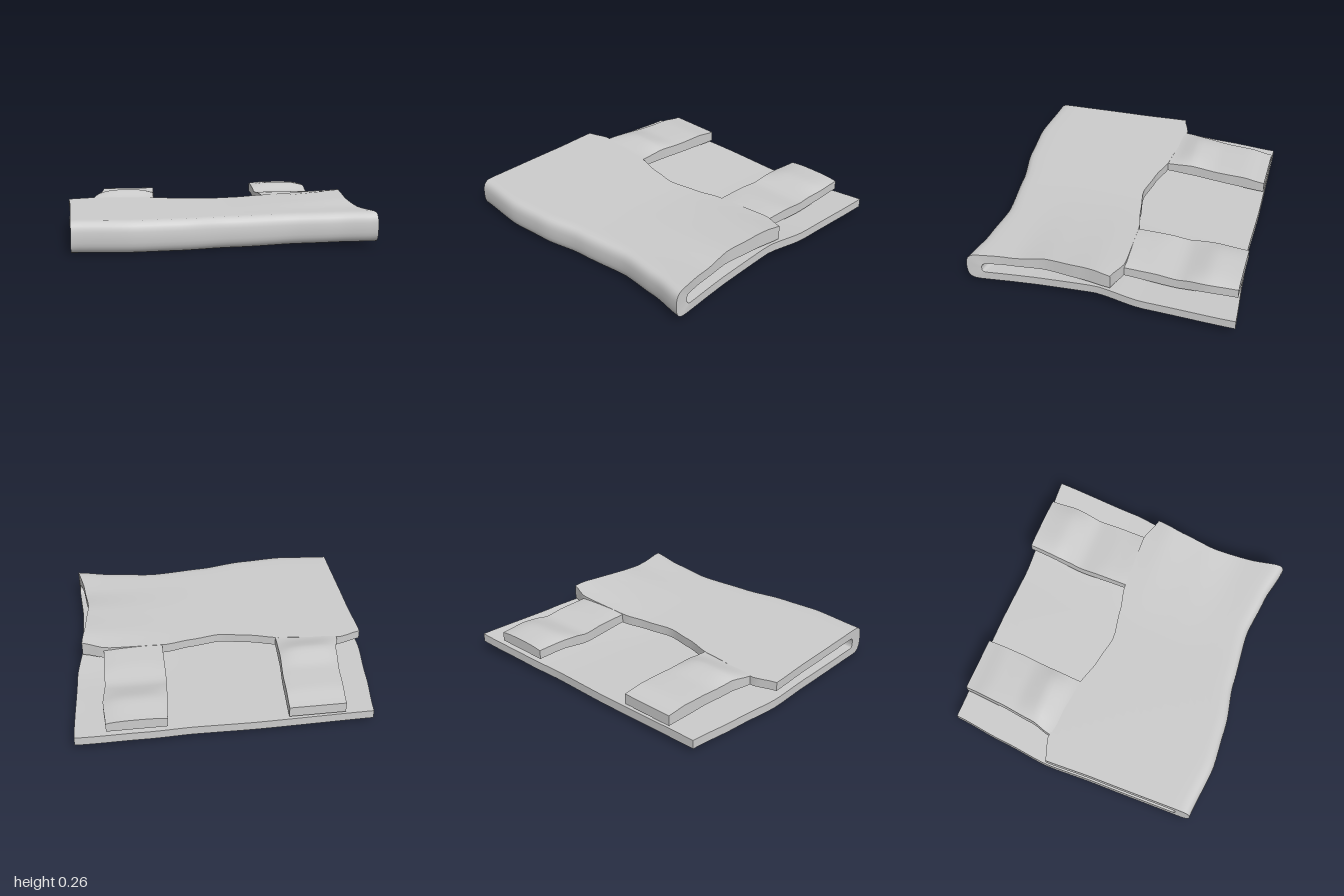
import * as THREE from 'three';
import { toCreasedNormals } from 'three/addons/utils/BufferGeometryUtils.js';

// Smooth interpolation through a short table of [position, value] pairs
function curve(pairs) {
  return (t) => {
    if (t <= pairs[0][0]) return pairs[0][1];
    for (let i = 1; i < pairs.length; i++) {
      const [a, va] = pairs[i - 1], [b, vb] = pairs[i];
      if (t <= b) {
        const k = (t - a) / (b - a);
        return va + (vb - va) * (0.5 * k + 0.5 * k * k * (3 - 2 * k));
      }
    }
    return pairs[pairs.length - 1][1];
  };
}
const mix = THREE.MathUtils.lerp;

// Closed cloth of two surfaces, at(i, j, inner) -> [x, y, z], joined round the border
function cloth(name, nu, nv, at) {
  const pos = [], idx = [], row = nu + 1, total = row * (nv + 1);
  for (const inner of [false, true])
    for (let j = 0; j <= nv; j++)
      for (let i = 0; i <= nu; i++) pos.push(...at(i, j, inner));
  for (let j = 0; j < nv; j++)
    for (let i = 0; i < nu; i++) {
      const a = j * row + i, b = a + 1, c = a + row, d = c + 1;
      idx.push(a, b, d, a, d, c);
      idx.push(total + a, total + d, total + b, total + a, total + c, total + d);
    }
  const rim = [];
  for (let i = 0; i < nu; i++) rim.push(i);
  for (let j = 0; j < nv; j++) rim.push(j * row + nu);
  for (let i = nu; i > 0; i--) rim.push(nv * row + i);
  for (let j = nv; j > 0; j--) rim.push(j * row);
  rim.forEach((p, k) => {
    const q = rim[(k + 1) % rim.length];
    idx.push(q, p, total + p, q, total + p, total + q);
  });
  const geo = new THREE.BufferGeometry();
  geo.setAttribute('position', new THREE.Float32BufferAttribute(pos, 3));
  geo.setIndex(idx);
  const mesh = new THREE.Mesh(toCreasedNormals(geo, 0.8),
    new THREE.MeshStandardMaterial({ color: 0xcccccc, side: THREE.DoubleSide }));
  mesh.name = name;
  return mesh;
}

// Outlines
const frontZ = curve([[-0.97, 0.875], [-0.6, 0.908], [-0.3, 0.885], [0, 0.83], [0.4, 0.79], [0.7, 0.82], [0.94, 0.865]]);
const backZ = curve([[-0.97, -0.86], [-0.2, -0.872], [0.2, -0.865], [0.5, -0.885], [0.94, -0.913]]);
const neckZ = curve([[-0.97, -0.15], [-0.82, -0.2], [-0.4, -0.155], [-0.2, -0.1], [0, -0.065],
  [0.2, -0.1], [0.38, -0.14], [0.78, -0.155], [0.94, -0.1]]);
const leftEdge = curve([[-0.86, -0.925], [-0.5, -0.965], [-0.15, -1], [0.2, -0.985], [0.88, -0.97]]);
const lowerRight = curve([[-0.91, 1], [-0.3, 0.97], [0, 0.925], [0.4, 0.92], [0.86, 0.945]]);
const upperRight = curve([[-0.1, 0.93], [0.1, 0.9], [0.35, 0.875], [0.6, 0.9], [0.86, 0.945]]);

// Heights: gentle sag plus a lift toward the +x side
const side = (x) => Math.pow(Math.max(0, (x - 0.15) / 0.79), 1.5);
const lowerLift = curve([[-0.9, 0.04], [-0.35, 0.04], [0, 0.06], [0.5, 0.035], [0.87, 0.025]]);
const upperLift = curve([[-0.4, 0], [-0.15, 0.04], [0, 0.055], [0.3, 0.04], [0.55, 0.012], [0.85, 0.02]]);
const lowerY = (x, z) => mix(0.008, 0.04, (0.9 - z) / 1.8) + side(x) * lowerLift(z);
const upperY = (x, z) => 0.21 + side(x) * upperLift(z);

// Folded body: lower sheet, rounded front fold, then the upper sheet up to the neckline
function foldedBody() {
  const nu = 40, nLow = 26, nArc = 14, nUp = 18;
  return cloth('foldedBody', nu, nLow + nArc + nUp, (i, j, inner) => {
    const u = i / nu, X = mix(-0.97, 0.94, u);
    const foldZ = frontZ(X) - (inner ? 0.13 : 0.085);
    const bottom = (z) => lowerY(X, z) + (inner ? 0.06 : 0);
    const top = (z) => (inner ? 0.148 + side(X) * 0.008 : upperY(X, z));
    let y, z, upper = 0;
    if (j < nLow) {
      z = mix(backZ(X), foldZ, j / nLow);
      y = bottom(z);
    } else if (j <= nLow + nArc) {
      const a = ((j - nLow) / nArc) * Math.PI;
      const low = bottom(foldZ), high = top(foldZ);
      const s = Math.pow(Math.sin(a), 0.6) || 0;
      const c = Math.sign(Math.cos(a)) * Math.pow(Math.abs(Math.cos(a)), 0.75);
      z = foldZ + (inner ? 0.03 : 0.085) * s;
      y = (low + high) / 2 - ((high - low) / 2) * c;
      upper = (j - nLow) / nArc;
    } else {
      z = mix(foldZ, neckZ(X), (j - nLow - nArc) / nUp);
      y = top(z);
      upper = 1;
    }
    const xr = mix(lowerRight(z), upperRight(z), upper);
    return [X + mix(leftEdge(z) + 0.97, xr - 0.94, u), y, z];
  });
}

// Shoulder strap running back from the neckline
function strap(name, endZ, xMin, xMax, topY, lowY) {
  const nu = 12, nv = 22;
  return cloth(name, nu, nv, (i, j, inner) => {
    const u = i / nu, z = mix(-0.13, endZ, j / nv);
    const x = mix(xMin(z), xMax(z), u);
    const crown = Math.pow(Math.abs(2 * u - 1), 3);
    const edge = mix(topY(z), Math.min(topY(z), 0.208), crown * 0.7);
    return [x, inner ? lowY(z) : edge, z];
  });
}

export function createModel() {
  const group = new THREE.Group();
  group.name = 'foldedTop';
  group.add(foldedBody());
  group.add(strap('rightStrap', -0.865,
    curve([[-0.86, -0.735], [-0.6, -0.755], [-0.35, -0.785], [-0.2, -0.825]]),
    curve([[-0.86, -0.365], [-0.6, -0.375], [-0.35, -0.395], [-0.15, -0.402]]),
    curve([[-0.86, 0.19], [-0.7, 0.212], [-0.5, 0.215], [-0.33, 0.248], [-0.17, 0.208]]),
    curve([[-0.86, 0.118], [-0.5, 0.135], [-0.15, 0.148]])));
  group.add(strap('leftStrap', -0.89,
    curve([[-0.88, 0.412], [-0.6, 0.392], [-0.45, 0.385], [-0.15, 0.385]]),
    curve([[-0.88, 0.8], [-0.7, 0.81], [-0.5, 0.79], [-0.15, 0.785]]),
    curve([[-0.89, 0.225], [-0.7, 0.24], [-0.5, 0.195], [-0.3, 0.216], [-0.15, 0.222]]),
    curve([[-0.89, 0.15], [-0.7, 0.155], [-0.5, 0.128], [-0.15, 0.15]])));
  return group;
}
